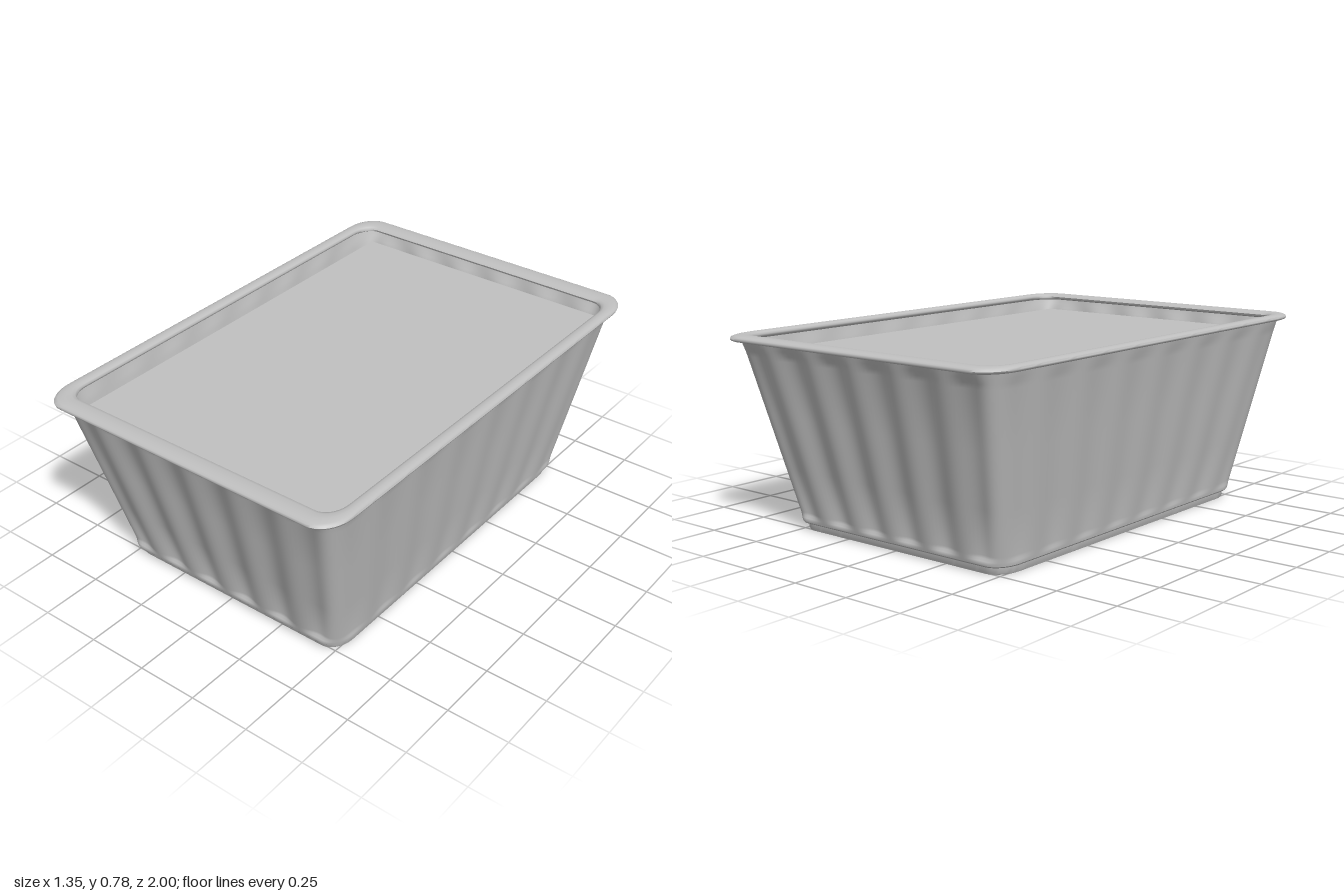
import * as THREE from 'three';
import { toCreasedNormals } from 'three/addons/utils/BufferGeometryUtils.js';

// Points of a rounded rectangle, counter-clockwise from above, with flutes pressed inwards
function ring({ hx, hz, y, flute = 0, corner = 0.14 }) {
  const rx = hx * corner, rz = hz * (corner - 0.01);
  const pts = [];
  const wave = (p, n) => 0.5 - 0.5 * Math.cos(2 * Math.PI * n * p);
  const add = (x, z, nx, nz) => {
    // three flutes per half on the short ends, four per half on the long sides
    const dz = flute * 0.019 * wave(x / hx, 3) * nz * Math.abs(nz);
    const dx = flute * 0.007 * wave(z / hz, 4) * nx * Math.abs(nx);
    pts.push([x - dx, y, z - dz]);
  };
  const signs = [[1, -1], [-1, -1], [-1, 1], [1, 1]];
  const cornerSteps = 10, sideSteps = 64;
  for (let k = 0; k < 4; k++) {
    const [sx, sz] = signs[k];
    const cx = sx * (hx - rx), cz = sz * (hz - rz);
    for (let i = 0; i <= cornerSteps; i++) {
      const a = (k + i / cornerSteps) * Math.PI / 2;
      add(cx + rx * Math.cos(a), cz - rz * Math.sin(a), Math.cos(a), -Math.sin(a));
    }
    // straight side to the next corner
    const [tx, tz] = signs[(k + 1) % 4];
    const a = (k + 1) * Math.PI / 2, nx = Math.cos(a), nz = -Math.sin(a);
    const ax = cx + rx * nx, az = cz + rz * nz;
    const bx = tx * (hx - rx) + rx * nx, bz = tz * (hz - rz) + rz * nz;
    for (let i = 1; i < sideSteps; i++) {
      const t = i / sideSteps;
      add(ax + (bx - ax) * t, az + (bz - az) * t, nx, nz);
    }
  }
  return pts;
}

// Skin through a list of rings
function skin(sections, crease) {
  const rings = sections.map(ring), n = rings[0].length, index = [];
  for (let j = 0; j < rings.length - 1; j++) {
    for (let i = 0; i < n; i++) {
      const a = j * n + i, b = j * n + (i + 1) % n;
      index.push(a, b, b + n, a, b + n, a + n);
    }
  }
  const g = new THREE.BufferGeometry();
  g.setAttribute('position', new THREE.Float32BufferAttribute(rings.flat(2), 3));
  g.setIndex(index);
  return toCreasedNormals(g, crease);
}

// Rings up a tapering wall; flutes fade out at both ends
function wallSections(bottom, top) {
  return [[0, 0], [0.012, 0], [0.022, 0.25], [0.035, 0.75], [0.05, 1], [0.3, 1],
    [0.6, 1], [0.92, 1], [0.95, 0.75], [0.975, 0.25], [1, 0]].map(([t, flute]) => ({
    hx: THREE.MathUtils.lerp(bottom[0], top[0], t),
    hz: THREE.MathUtils.lerp(bottom[1], top[1], t),
    y: THREE.MathUtils.lerp(bottom[2], top[2], t),
    flute,
  }));
}

export function createModel() {
  const group = new THREE.Group();
  const grey = new THREE.MeshStandardMaterial({ color: 0xc0c0c0, side: THREE.DoubleSide });
  grey.name = 'light grey';
  const part = (name, geometry) => {
    const m = new THREE.Mesh(geometry, grey);
    m.name = name;
    group.add(m);
    return m;
  };

  const outerBottom = [0.53, 0.78, 0.036], outerTop = [0.652, 0.962, 0.75];
  const innerBottom = [0.517, 0.766, 0.036], innerTop = [0.633, 0.942, 0.75];

  // Open-bottomed foot
  part('foot', skin([
    { hx: 0.505, hz: 0.75, y: 0 }, { hx: 0.512, hz: 0.757, y: 0 },
    { hx: 0.515, hz: 0.76, y: 0.006 }, { hx: 0.516, hz: 0.762, y: 0.03 },
    { hx: 0.526, hz: 0.776, y: 0.031 }, { hx: 0.53, hz: 0.78, y: 0.036 },
  ], 0.9));

  // Fluted walls
  part('outerWall', skin(wallSections(outerBottom, outerTop), 0.9));
  part('innerWall', skin([
    ...wallSections(innerBottom, innerTop).reverse(),
    { hx: 0.505, hz: 0.75, y: 0 },
  ], 0.9));

  // Rolled rim
  part('rim', skin([
    { hx: 0.652, hz: 0.962, y: 0.75 }, { hx: 0.657, hz: 0.972, y: 0.753 },
    { hx: 0.667, hz: 0.989, y: 0.754 }, { hx: 0.674, hz: 0.998, y: 0.758 },
    { hx: 0.676, hz: 1, y: 0.764 }, { hx: 0.673, hz: 0.997, y: 0.77 },
    { hx: 0.666, hz: 0.988, y: 0.774 }, { hx: 0.652, hz: 0.965, y: 0.777 },
    { hx: 0.636, hz: 0.936, y: 0.776, corner: 0.12 }, { hx: 0.626, hz: 0.922, y: 0.772, corner: 0.11 },
    { hx: 0.621, hz: 0.915, y: 0.765, corner: 0.1 }, { hx: 0.623, hz: 0.918, y: 0.757, corner: 0.11 },
    { hx: 0.633, hz: 0.942, y: 0.75 },
  ], 0.9));

  // Flat surface set down inside the rim
  const surface = part('topPanel', new THREE.PlaneGeometry(1.16, 1.81));
  surface.rotation.x = -Math.PI / 2;
  surface.position.y = 0.708;

  return group;
}
